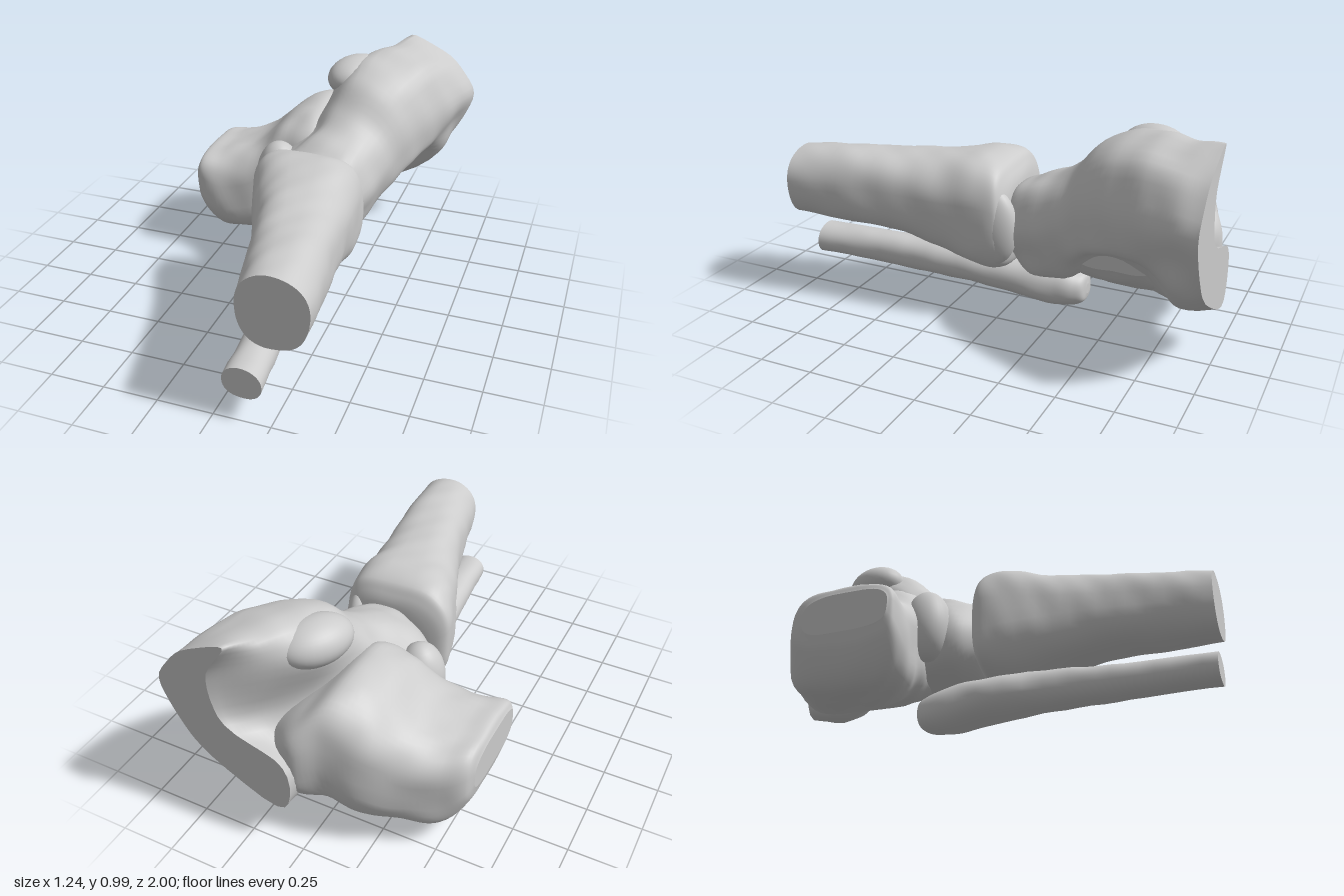
import * as THREE from 'three';

const material = new THREE.MeshStandardMaterial({ color: 0xcccccc, roughness: 0.9, side: THREE.DoubleSide });
const SIDES = 48;
const V = (x, y, z) => new THREE.Vector3(x, y, z);

// Smooth repeatable unevenness for bone surfaces
const rough = (p) => Math.sin(p.x * 19 + p.z * 7) * Math.sin(p.y * 23 + 1) * 0.6
  + Math.sin(p.z * 31 + p.x * 13) * Math.sin(p.y * 17 + p.x * 29) * 0.4;

// Squared oval ring across the z axis: [z, xMin, xMax, yMin, yMax, power]
function zRing([z, x0, x1, y0, y1, power = 2.2]) {
  return oval((u, v) => V((x0 + x1) / 2 + u * (x1 - x0) / 2, (y0 + y1) / 2 + v * (y1 - y0) / 2, z), power);
}
// Squared oval ring across the x axis: [x, zMin, zMax, yMin, yMax]
function xRing([x, z0, z1, y0, y1]) {
  return oval((u, v) => V(x, (y0 + y1) / 2 + v * (y1 - y0) / 2, (z0 + z1) / 2 + u * (z1 - z0) / 2), 3.2);
}
function oval(place, power) {
  return Array.from({ length: SIDES }, (_, i) => {
    const a = i / SIDES * Math.PI * 2, c = Math.cos(a), s = Math.sin(a);
    return place(Math.sign(c) * Math.abs(c) ** (2 / power), Math.sign(s) * Math.abs(s) ** (2 / power));
  });
}
// Closed smooth outline through a few points at depth z
function outlineRing(z, points) {
  const curve = new THREE.CatmullRomCurve3(points.map(([x, y]) => V(x, y, z)), true, 'centripetal');
  return Array.from({ length: SIDES }, (_, i) => curve.getPoint(i / SIDES));
}

// Skin through the rings, with flat caps and a gently uneven wall
function loft(name, rings, steps, bump) {
  const rows = steps * (rings.length - 1);
  const positions = [], index = [];
  const columns = Array.from({ length: SIDES }, (_, i) =>
    new THREE.CatmullRomCurve3(rings.map((r) => r[i]), false, 'centripetal').getPoints(rows));
  const last = [];
  for (let j = 0; j <= rows; j++) {
    const ring = columns.map((c) => c[j]);
    const mid = ring.reduce((m, p) => m.add(p), V(0, 0, 0)).divideScalar(SIDES);
    ring.forEach((p, i) => {
      const out = p.clone().sub(mid).normalize();
      const q = p.clone().addScaledVector(out, rough(p) * bump);
      q.z = THREE.MathUtils.clamp(q.z, -1, 1);
      positions.push(q.x, q.y, q.z);
      if (j === 0 || j === rows) (last[j ? 1 : 0] ??= []).push(q);
      if (j < rows) {
        const a = j * SIDES + i, b = j * SIDES + (i + 1) % SIDES;
        index.push(a, b, a + SIDES, b, b + SIDES, a + SIDES);
      }
    });
  }
  // Triangulated caps also suit hollowed outlines
  last.forEach((ring, end) => {
    const base = positions.length / 3;
    ring.forEach((q) => positions.push(q.x, q.y, q.z));
    const alongX = Math.abs(ring[0].x - ring[12].x) < 0.03 && Math.abs(ring[0].x - ring[24].x) < 0.03;
    const flat = ring.map((q) => new THREE.Vector2(alongX ? q.z : q.x, q.y));
    const ccw = !THREE.ShapeUtils.isClockWise(flat);
    THREE.ShapeUtils.triangulateShape(flat, []).forEach(([a, b, c]) => {
      const area = (flat[b].x - flat[a].x) * (flat[c].y - flat[a].y) - (flat[b].y - flat[a].y) * (flat[c].x - flat[a].x);
      const withRing = (area > 0) === ccw;
      index.push(base + a, ...(withRing === (end === 1) ? [base + b, base + c] : [base + c, base + b]));
    });
  });
  // Turn the skin outward if the rings run the other way
  let volume = 0;
  const at = (k) => V(...positions.slice(k * 3, k * 3 + 3));
  for (let t = 0; t < index.length; t += 3) volume += at(index[t]).dot(at(index[t + 1]).cross(at(index[t + 2])));
  if (volume < 0) index.reverse();
  const geometry = new THREE.BufferGeometry();
  geometry.setAttribute('position', new THREE.Float32BufferAttribute(positions, 3));
  geometry.setIndex(index);
  geometry.computeVertexNormals();
  const mesh = new THREE.Mesh(geometry, material);
  mesh.name = name;
  return mesh;
}

// Rounded bony knob
function knob(name, [x, y, z], [rx, ry, rz], turnY = 0) {
  const mesh = new THREE.Mesh(new THREE.SphereGeometry(1, 32, 20), material);
  mesh.name = name;
  mesh.position.set(x, y, z);
  mesh.scale.set(rx, ry, rz);
  mesh.rotation.y = turnY;
  return mesh;
}

export function createModel() {
  const model = new THREE.Group();
  model.name = 'ankleBones';

  // Thick shin bone, flaring to a squarer end at the joint
  model.add(loft('shinBone', [
    [1, 0.11, 0.41, 0.39, 0.71, 2.4], [0.75, 0.05, 0.39, 0.37, 0.73, 2.4], [0.5, -0.02, 0.36, 0.35, 0.73, 2.5],
    [0.28, -0.11, 0.34, 0.29, 0.74, 2.7], [0.1, -0.18, 0.33, 0.23, 0.76, 3], [0.0, -0.2, 0.32, 0.23, 0.73, 3.2],
    [-0.03, -0.18, 0.31, 0.25, 0.69, 3], [-0.05, -0.12, 0.28, 0.3, 0.64, 2.6], [-0.06, 0.03, 0.15, 0.42, 0.5, 2],
  ].map(zRing), 6, 0.006));
  model.add(knob('innerAnkleKnob', [0.25, 0.46, 0.01], [0.07, 0.18, 0.115]));

  // Thin outer leg bone with a swollen tip
  model.add(loft('outerLegBone', [
    [1, 0.04, 0.21, 0.12, 0.26], [0.6, 0.01, 0.18, 0.1, 0.26], [0.25, -0.05, 0.16, 0.08, 0.26],
    [0, -0.12, 0.13, 0.045, 0.24], [-0.2, -0.135, 0.09, 0.005, 0.21], [-0.29, -0.125, 0.06, 0.01, 0.18],
    [-0.33, -0.1, 0.03, 0.035, 0.16], [-0.34, -0.05, -0.02, 0.07, 0.12],
  ].map(zRing), 6, 0.006));

  // Ankle and midfoot, hollowing to a crescent at the flat cut end
  model.add(loft('midfoot', [
    zRing([-0.02, 0.03, 0.13, 0.4, 0.5]),
    outlineRing(-0.05, [[.08, .62], [.19, .59], [.24, .47], [.21, .36], [.12, .29], [.02, .3], [-.09, .36], [-.11, .46], [-.04, .57]]),
    outlineRing(-0.15, [[.05, .67], [.2, .65], [.28, .5], [.26, .36], [.2, .24], [.05, .24], [-.14, .3], [-.21, .44], [-.12, .6]]),
    outlineRing(-0.33, [[.1, .76], [.24, .73], [.35, .57], [.32, .42], [.24, .28], [.08, .25], [-.12, .3], [-.2, .5], [-.03, .68]]),
    outlineRing(-0.5, [[.13, .92], [.34, .86], [.43, .66], [.42, .51], [.3, .44], [.1, .3], [-.07, .35], [-.06, .55], [0, .8]]),
    outlineRing(-0.72, [[.14, .97], [.43, .92], [.52, .72], [.49, .54], [.36, .46], [.1, .22], [0, .4], [.08, .6], [.02, .85]]),
    outlineRing(-0.88, [[.22, .97], [.47, .91], [.58, .73], [.53, .54], [.47, .39], [.1, .2], [.02, .38], [.22, .58], [.17, .86]]),
    outlineRing(-1, [[.28, .99], [.5, .9], [.62, .73], [.56, .54], [.46, .4], [.08, .22], [.06, .46], [.33, .59], [.38, .82]]),
  ], 7, 0.01));

  // Blocky heel bone reaching out sideways and running into the midfoot
  model.add(loft('heelBone', [
    [-0.615, -0.64, -0.23, 0.29, 0.47], [-0.595, -0.69, -0.205, 0.22, 0.51], [-0.5, -0.75, -0.2, 0.09, 0.52],
    [-0.35, -0.82, -0.23, 0.085, 0.56], [-0.2, -0.89, -0.27, 0.1, 0.69], [-0.06, -0.92, -0.28, 0.16, 0.74],
    [0.06, -0.97, -0.28, 0.2, 0.65], [0.2, -0.88, -0.3, 0.28, 0.55], [0.27, -0.75, -0.36, 0.36, 0.5],
  ].map(xRing), 6, 0.01));

  // Knobs behind the joint and on the upper midfoot
  model.add(
    knob('rearAnkleKnob', [-0.18, 0.47, -0.25], [0.11, 0.17, 0.11], 0.5),
    knob('upperMidfootKnob', [0.085, 0.87, -0.67], [0.12, 0.1, 0.17], -0.5),
  );
  return model;
}
